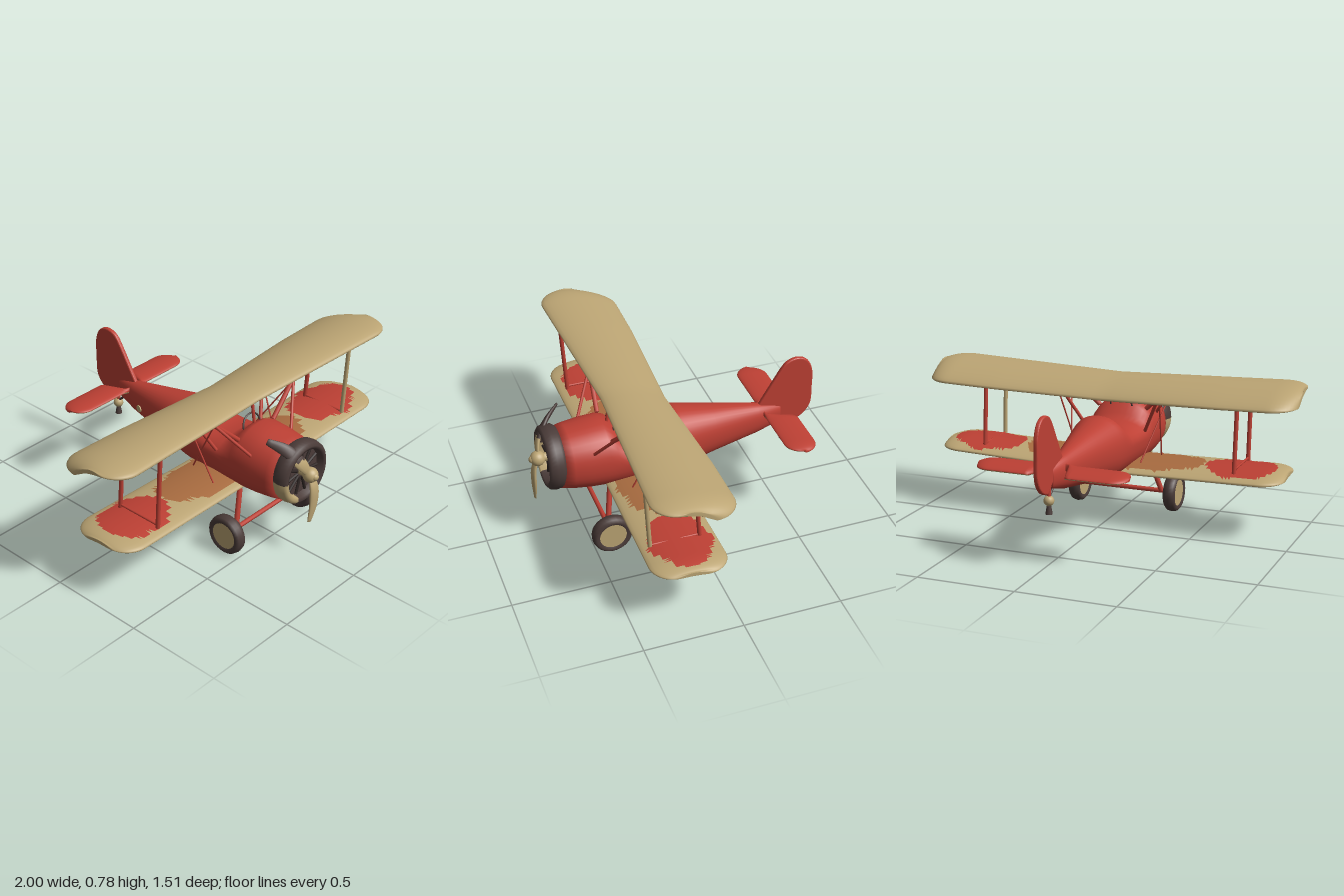
import * as THREE from 'three';

const V = (x, y, z) => new THREE.Vector3(x, y, z);
const mat = (name, color, extra = {}) => Object.assign(new THREE.MeshStandardMaterial({ color, ...extra }), { name });
const lerp = THREE.MathUtils.lerp;

// Skin a list of rings; pick(centre, normal) chooses a material index per face
function loft(rings, pick = () => 0) {
  const n = rings[0].length, pts = rings.flat(), lists = [];
  const tri = (a, b, c) => {
    const [A, B, C] = [pts[a], pts[b], pts[c]];
    const mid = A.clone().add(B).add(C).divideScalar(3);
    const nor = B.clone().sub(A).cross(C.clone().sub(A)).normalize();
    (lists[pick(mid, nor)] ??= []).push(a, b, c);
  };
  for (let i = 0; i < rings.length - 1; i++) for (let j = 0; j < n; j++) {
    const a = i * n + j, b = i * n + (j + 1) % n;
    tri(a, b, b + n);
    tri(a, b + n, a + n);
  }
  const last = (rings.length - 1) * n;
  for (const base of [0, last]) {
    const c = pts.length;
    pts.push(pts.slice(base, base + n).reduce((s, p) => s.add(p), V(0, 0, 0)).divideScalar(n));
    for (let j = 0; j < n; j++) {
      const k = (j + 1) % n;
      base ? tri(c, base + j, base + k) : tri(c, k, j);
    }
  }
  const g = new THREE.BufferGeometry().setFromPoints(pts);
  const index = [];
  lists.forEach((l, m) => { g.addGroup(index.length, l.length, m); index.push(...l); });
  g.setIndex(index);
  g.computeVertexNormals();
  return g;
}

// Full-span wing with rounded tips
function wing({ span, r, le, te, yLE, yTE, camber, th, rise, pick, steps = 64 }) {
  const rings = [];
  for (let i = 0; i <= steps; i++) {
    const x = span * Math.sin((i / steps - 0.5) * Math.PI), ax = Math.abs(x);
    const u = Math.max(0, (ax - span + r) / r), round = Math.sqrt(Math.max(0, 1 - u * u));
    const inset = r * (1 - round) * 0.98, h = th * Math.max(0.35, round);
    const front = le(ax) - inset, back = te(ax) + inset, ring = [];
    for (let j = 0; j < 28; j++) {
      const a = j / 28 * Math.PI * 2, s = (1 - Math.sin(a)) / 2;
      ring.push(V(x, lerp(yLE, yTE, s) + camber * 4 * s * (1 - s) + rise(ax) + h * Math.cos(a), lerp(front, back, s)));
    }
    rings.push(ring);
  }
  return loft(rings, pick);
}

// Curved propeller blade
function blade(points, width, pick) {
  const curve = new THREE.CatmullRomCurve3(points), rings = [];
  for (let i = 0; i <= 20; i++) {
    const t = i / 20, p = curve.getPoint(t), T = curve.getTangent(t);
    const side = T.clone().cross(V(0, 0, 1)).normalize(), up = T.clone().cross(side);
    const w = width * (0.3 + 0.7 * Math.sin(Math.PI * Math.min(1, t * 0.85 + 0.08)));
    rings.push(Array.from({ length: 12 }, (_, j) => {
      const a = j / 12 * Math.PI * 2;
      return p.clone().addScaledVector(side, w * Math.cos(a)).addScaledVector(up, 0.4 * w * Math.sin(a));
    }));
  }
  return loft(rings, pick);
}

export function createModel() {
  const root = new THREE.Group();
  const red = mat('red paint', 0xbd4034), tan = mat('tan canvas', 0xbca574);
  const dark = mat('dark brown', 0x4b3c39, { side: THREE.DoubleSide }), soot = mat('soot', 0x2f2624);
  const orange = mat('faded orange', 0xa96c40);
  const tanShell = mat('tan shell', 0xbca574, { side: THREE.DoubleSide });
  const add = (name, geo, m, x = 0, y = 0, z = 0) => {
    const mesh = new THREE.Mesh(geo, m);
    mesh.name = name;
    mesh.position.set(x, y, z);
    root.add(mesh);
    return mesh;
  };
  const rod = (name, a, b, r, m = red) => {
    const mesh = add(name, new THREE.CylinderGeometry(r, r, a.distanceTo(b), 10), m);
    mesh.position.copy(a).lerp(b, 0.5);
    mesh.quaternion.setFromUnitVectors(V(0, 1, 0), b.clone().sub(a).normalize());
  };

  // Fuselage: z, bottom, top, half width
  const stations = [
    [-0.58, 0.37, 0.475, 0.018], [-0.45, 0.335, 0.505, 0.052], [-0.2, 0.293, 0.55, 0.105], [-0.02, 0.258, 0.583, 0.145],
    [0.02, 0.256, 0.588, 0.152], [0.05, 0.256, 0.565, 0.157], [0.09, 0.256, 0.525, 0.162], [0.16, 0.256, 0.512, 0.167],
    [0.25, 0.256, 0.515, 0.172], [0.3, 0.257, 0.54, 0.175], [0.34, 0.258, 0.59, 0.176], [0.38, 0.26, 0.61, 0.177],
    [0.47, 0.266, 0.605, 0.175], [0.56, 0.276, 0.595, 0.165], [0.62, 0.287, 0.585, 0.15]];
  add('fuselage', loft(stations.map(([z, lo, hi, w]) => Array.from({ length: 36 }, (_, j) => {
    const a = j / 36 * Math.PI * 2, c = Math.cos(a), s = Math.sin(a), mid = 0.425;
    return V(w * Math.sign(c) * Math.abs(c) ** 0.9, mid + (s > 0 ? hi - mid : mid - lo) * Math.sign(s) * Math.abs(s) ** 0.9, z);
  }))), red);
  const patch = add('sidePatch', new THREE.CylinderGeometry(0.019, 0.019, 0.008, 16), tan, -0.068, 0.4, -0.38);
  patch.rotation.set(0, -0.22, Math.PI / 2);

  // Cowling ring with a tan section
  const profile = [[0.15, 0.6], [0.162, 0.615], [0.166, 0.645], [0.16, 0.675], [0.145, 0.688], [0.128, 0.682], [0.12, 0.63]]
    .map(p => new THREE.Vector2(...p));
  const cowl = (name, m, from, to) => add(name,
    new THREE.LatheGeometry(profile, 40, from, to - from).rotateX(Math.PI / 2), m, 0, 0.447, 0);
  cowl('cowling', dark, -0.4, Math.PI * 1.5);
  cowl('cowlingTanSection', tanShell, Math.PI * 1.5, Math.PI * 2 - 0.4);

  // Radial engine
  add('engineFace', new THREE.CylinderGeometry(0.125, 0.125, 0.03, 32).rotateX(Math.PI / 2), dark, 0, 0.447, 0.632);
  for (let i = 0; i < 11; i++) {
    const a = i / 11 * Math.PI * 2;
    rod('engineCylinder', V(0.03 * Math.sin(a), 0.447 + 0.03 * Math.cos(a), 0.65),
      V(0.12 * Math.sin(a), 0.447 + 0.12 * Math.cos(a), 0.65), 0.008, soot);
  }

  // Propeller
  rod('propellerShaft', V(0, 0.452, 0.64), V(0, 0.452, 0.7), 0.022, tan);
  add('propellerHub', new THREE.SphereGeometry(0.039, 20, 14), tan, 0, 0.452, 0.709);
  add('hubCap', new THREE.SphereGeometry(0.02, 14, 10), tan, 0, 0.452, 0.735);
  add('upperBlade', blade([V(0, 0.452, 0.71), V(-0.05, 0.53, 0.69), V(-0.09, 0.595, 0.64), V(-0.15, 0.645, 0.56)], 0.034,
    p => p.y > 0.55 ? 1 : 0), [tan, dark]);
  add('lowerBlade', blade([V(0, 0.452, 0.71), V(0.002, 0.39, 0.732), V(0, 0.3, 0.735), V(-0.02, 0.2, 0.73)], 0.031), tan);

  // Main wings
  add('upperWing', wing({
    span: 1, r: 0.13, le: x => 0.378 + 0.05 * Math.min(1, x / 0.9), te: x => 0.045 - 0.028 * Math.min(1, x / 0.6),
    yLE: 0.75, yTE: 0.682, camber: 0.02, th: 0.032, rise: x => -0.018 + 0.025 * x }), tan);
  const inEllipse = (p, cx, rx, rz) => ((Math.abs(p.x) - cx) / rx) ** 2 + ((p.z - 0.215) / rz) ** 2 < 1 + 0.12 * Math.sin(p.x * 37);
  add('lowerWing', wing({
    span: 0.94, r: 0.12, le: x => 0.4 + 0.015 * x, te: () => 0.03, yLE: 0.312, yTE: 0.3, camber: 0.01, th: 0.027,
    rise: x => -0.008 + 0.025 * x, steps: 120,
    pick: (p, n) => n.y < 0.3 ? 0 : inEllipse(p, 0.7, 0.19, 0.155) ? 1 : inEllipse(p, 0.22, 0.28, 0.15) ? 2 : 0 }),
    [tan, red, orange]).rotation.z = 0.008;

  // Tail surfaces
  add('tailplane', wing({
    span: 0.39, r: 0.081, le: () => -0.475, te: x => Math.min(-0.495, Math.max(-0.64, -0.64 + (0.09 - x) * 4)),
    yLE: 0.458, yTE: 0.445, camber: 0.002, th: 0.017, rise: () => 0, pick: (p, n) => n.y < -0.3 ? 1 : 0 }), [red, tan]);
  const fin = new THREE.Shape();
  fin.moveTo(0.465, 0.49);
  fin.lineTo(0.57, 0.665);
  fin.splineThru([[0.61, 0.718], [0.665, 0.735], [0.715, 0.712], [0.743, 0.65], [0.746, 0.55], [0.742, 0.45], [0.7, 0.39], [0.64, 0.363]]
    .map(p => new THREE.Vector2(...p)));
  fin.lineTo(0.57, 0.42);
  fin.lineTo(0.5, 0.44);
  add('finAndRudder', new THREE.ExtrudeGeometry(fin, {
    depth: 0.008, bevelSize: 0.008, bevelThickness: 0.008, bevelSegments: 3, curveSegments: 40
  }).translate(0, 0, -0.004).rotateY(Math.PI / 2), red);

  // Tail wheel
  rod('tailStrut', V(0, 0.42, -0.5), V(0, 0.33, -0.605), 0.006, dark);
  rod('tailPost', V(0, 0.4, -0.6), V(0, 0.33, -0.605), 0.01, red);
  add('tailKnuckle', new THREE.SphereGeometry(0.026, 14, 10), tan, 0, 0.318, -0.605);
  add('tailWheel', new THREE.CylinderGeometry(0.011, 0.018, 0.04, 14), dark, 0, 0.272, -0.605);

  // Struts, wires and landing gear on both sides
  const tyre = [[0.066, -0.024], [0.085, -0.034], [0.099, -0.022], [0.104, 0], [0.099, 0.022], [0.085, 0.034], [0.066, 0.024]]
    .map(p => new THREE.Vector2(...p));
  for (const s of [-1, 1]) {
    const P = (x, y, z) => V(s * x, y, z);
    rod('frontWingStrut', P(0.69, 0.33, 0.36), P(0.69, 0.75, 0.385), 0.011, s > 0 ? tan : red);
    rod('rearWingStrut', P(0.69, 0.33, 0.112), P(0.69, 0.71, 0.142), 0.011);
    rod('strutFootBar', P(0.69, 0.352, 0.36), P(0.69, 0.352, 0.112), 0.006);
    rod('cabaneStrut', P(0.13, 0.56, 0.36), P(0.29, 0.71, 0.345), 0.012);
    rod('frontCabaneBrace', P(0.15, 0.52, 0.46), P(0.29, 0.71, 0.35), 0.008);
    rod('rearCabaneBrace', P(0.165, 0.47, 0.25), P(0.28, 0.7, 0.155), 0.009);
    rod('braceWire', P(0.19, 0.335, 0.12), P(0.29, 0.71, 0.35), 0.004);
    rod('braceWire', P(0.24, 0.335, 0.3), P(0.28, 0.69, 0.14), 0.004);
    rod('landingLeg', P(0.14, 0.29, 0.385), P(0.2, 0.105, 0.418), 0.014);
    add('tyre', new THREE.LatheGeometry(tyre, 32).rotateZ(Math.PI / 2), dark, s * 0.27, 0.104, 0.42);
    add('wheelDisc', new THREE.CylinderGeometry(0.071, 0.071, 0.052, 28).rotateZ(Math.PI / 2), tan, s * 0.27, 0.104, 0.42);
  }
  rod('axle', V(-0.25, 0.104, 0.42), V(0.25, 0.104, 0.42), 0.012);
  rod('centreStrut', V(0, 0.59, 0.35), V(0, 0.73, 0.33), 0.008);

  // Windscreen frame
  add('windscreenFrame', new THREE.TorusGeometry(0.06, 0.005, 6, 20, Math.PI), dark, 0, 0.575, 0.335).rotation.x = -0.3;
  return root;
}
